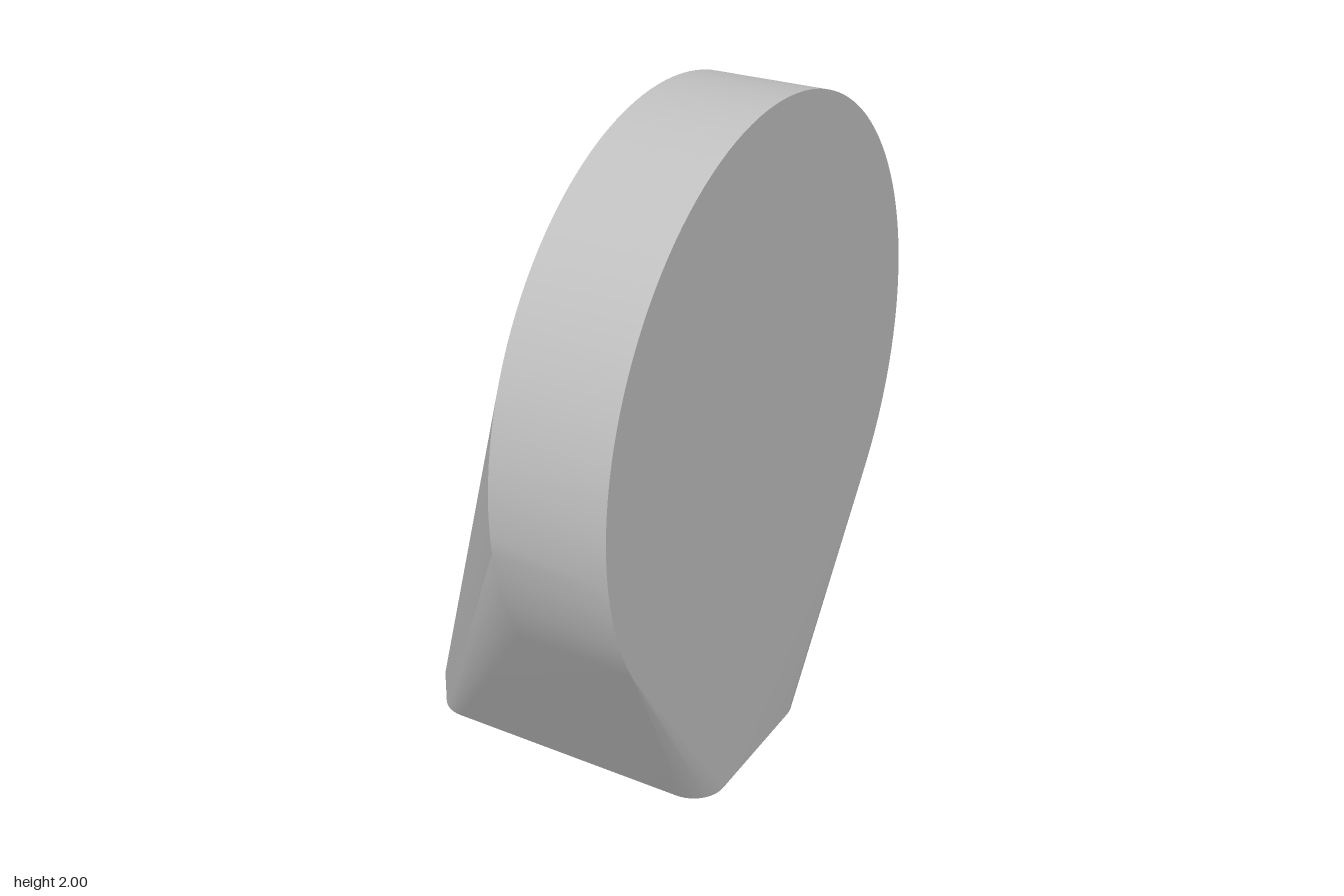
import * as THREE from 'three';
import { ConvexGeometry } from 'three/addons/geometries/ConvexGeometry.js';
import { toCreasedNormals } from 'three/addons/utils/BufferGeometryUtils.js';

export function createModel() {
  const group = new THREE.Group();
  group.name = 'taperedDiscBlock';
  const grey = new THREE.MeshStandardMaterial({ color: 0xbfbfbf });
  grey.name = 'light grey';
  const points = [];

  // Upright disc, its axis along x
  const radius = 0.857, centreY = 2 - radius, segments = 128;
  for (let i = 0; i < segments; i++) {
    const a = (i / segments) * Math.PI * 2;
    if (Math.sin(a) < -0.8) continue; // lies inside the neck
    for (const x of [0.143, 0.478]) {
      points.push(new THREE.Vector3(x, centreY + radius * Math.sin(a), radius * Math.cos(a)));
    }
  }

  // Thin foot slab with rounded corners
  const halfX = 0.478, halfZ = 0.31, corner = 0.1, steps = 12;
  for (const sx of [-1, 1]) {
    for (const sz of [-1, 1]) {
      for (let i = 0; i <= steps; i++) {
        const a = (i / steps) * Math.PI / 2;
        const x = sx * (halfX - corner + corner * Math.cos(a));
        const z = sz * (halfZ - corner + corner * Math.sin(a));
        for (const y of [0, 0.1]) points.push(new THREE.Vector3(x, y, z));
      }
    }
  }

  // Skin stretched over disc and foot, smooth except at the sharp rims
  const skin = toCreasedNormals(new ConvexGeometry(points), THREE.MathUtils.degToRad(35));
  const body = new THREE.Mesh(skin, grey);
  body.name = 'body';
  group.add(body);
  return group;
}
